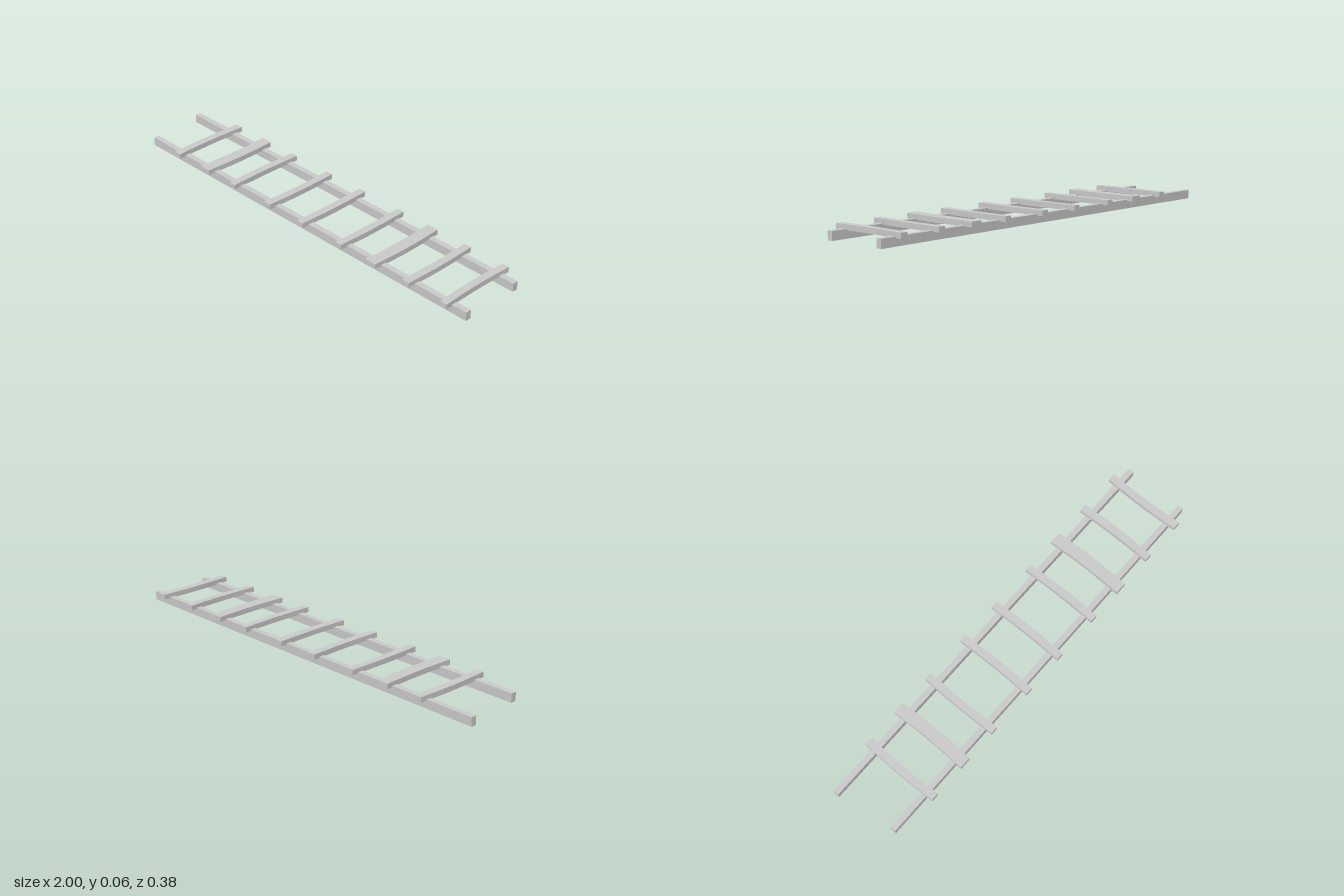
import * as THREE from 'three';

const material = new THREE.MeshStandardMaterial({ color: 0xcccccc, flatShading: true });

// Square-cut beam between two x positions, leaning slightly in z from end to end
function makeRail(name, x0, x1, z0, z1) {
  const geometry = new THREE.BoxGeometry(x1 - x0, 0.04, 0.027);
  const p = geometry.attributes.position;
  for (let i = 0; i < p.count; i++) {
    p.setZ(i, p.getZ(i) + (p.getX(i) < 0 ? z0 : z1));
  }
  geometry.computeVertexNormals();
  const rail = new THREE.Mesh(geometry, material);
  rail.name = name;
  rail.position.set((x0 + x1) / 2, 0.02, 0);
  return rail;
}

// Plank laid across the rails, its middle bowed sideways
function makeRung(x, width, bow, length = 0.38) {
  const geometry = new THREE.BoxGeometry(width, 0.024, length, 1, 1, 6);
  const p = geometry.attributes.position;
  for (let i = 0; i < p.count; i++) {
    const t = p.getZ(i) / (length / 2);
    p.setX(i, p.getX(i) + bow * Math.cos(t * Math.PI / 2));
  }
  geometry.computeVertexNormals();
  const rung = new THREE.Mesh(geometry, material);
  rung.position.set(x, 0.046, 0);
  return rung;
}

export function createModel() {
  const model = new THREE.Group();
  model.name = 'ladder';

  // Side rails
  model.add(makeRail('frontRail', -0.96, 1, 0.1435, 0.142));
  model.add(makeRail('backRail', -1, 1, -0.146, -0.145));

  // Rungs: x position, width, sideways bow
  const rungs = [
    [-0.743, 0.036, -0.006], [-0.548, 0.056, 0.006], [-0.358, 0.035, -0.004],
    [-0.126, 0.035, 0.005], [0.084, 0.036, 0.005], [0.318, 0.035, 0.005],
    [0.507, 0.056, 0.007], [0.704, 0.036, 0.005], [0.909, 0.035, -0.006],
  ];
  rungs.forEach(([x, width, bow], i) => {
    const rung = makeRung(x, width, bow);
    rung.name = `rung${i + 1}`;
    model.add(rung);
  });

  return model;
}
